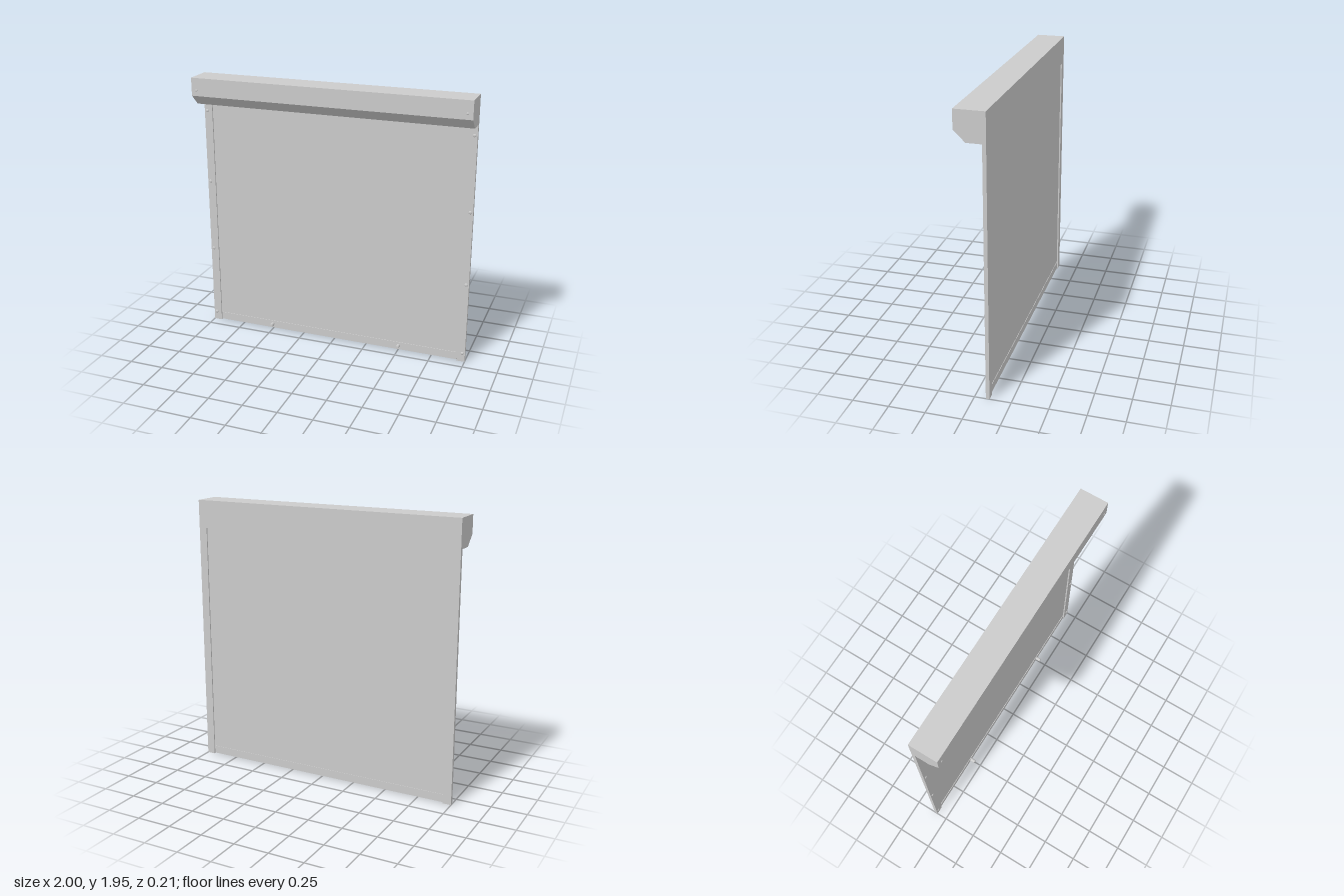
import * as THREE from 'three';

const BACK = -0.103, RAIL_FRONT = -0.078, HOOD_FRONT = 0.1;

export function createModel() {
  const group = new THREE.Group();
  const material = new THREE.MeshStandardMaterial({ color: 0xcccccc });

  const add = (name, geometry, x = 0, y = 0, z = 0) => {
    const mesh = new THREE.Mesh(geometry, material);
    mesh.name = name;
    mesh.position.set(x, y, z);
    group.add(mesh);
    return mesh;
  };
  // box given by its limits in y and z
  const slab = (name, width, y0, y1, z0, z1, x = 0) =>
    add(name, new THREE.BoxGeometry(width, y1 - y0, z1 - z0), x, (y0 + y1) / 2, (z0 + z1) / 2);

  // hood: side profile with a sloped lower front, extruded along x
  const profile = new THREE.Shape([
    [BACK, 1.752], [0.023, 1.752], [HOOD_FRONT, 1.825], [HOOD_FRONT, 1.953], [BACK, 1.953],
  ].map(([z, y]) => new THREE.Vector2(-z, y)));
  const hood = new THREE.ExtrudeGeometry(profile, { depth: 2, bevelEnabled: false });
  hood.translate(0, 0, -1).rotateY(Math.PI / 2);
  add('hood', hood);

  // curtain and its bottom bar, set back between the rails
  slab('curtain', 1.89, 0.062, 1.76, -0.094, -0.088);
  slab('bottomBar', 1.876, 0.006, 0.063, -0.097, -0.084);

  // low domed screw head facing the front
  const dome = (r, h) => new THREE.SphereGeometry(r, 16, 6, 0, Math.PI * 2, 0, Math.PI / 2)
    .rotateX(Math.PI / 2).scale(1, 1, h / r);
  const railScrew = dome(0.012, 0.006);
  const hoodScrew = dome(0.008, 0.004);
  const peg = new THREE.CylinderGeometry(0.0125, 0.0125, 0.038, 16).rotateX(Math.PI / 2);

  for (const side of [-1, 1]) {
    const label = side > 0 ? 'left' : 'right';
    slab(label + 'Rail', 0.06, 0, 1.752, BACK, RAIL_FRONT, side * 0.97);
    for (let i = 0; i < 4; i++) {
      add(label + 'RailScrew', railScrew, side * 0.98, 0.065 + i * 0.538, RAIL_FRONT);
    }
    add(label + 'HoodScrew', hoodScrew, side * 0.963, 1.865, HOOD_FRONT);
    add(label + 'StopPeg', peg, side * 0.503, 0.036, -0.066);
  }
  return group;
}
